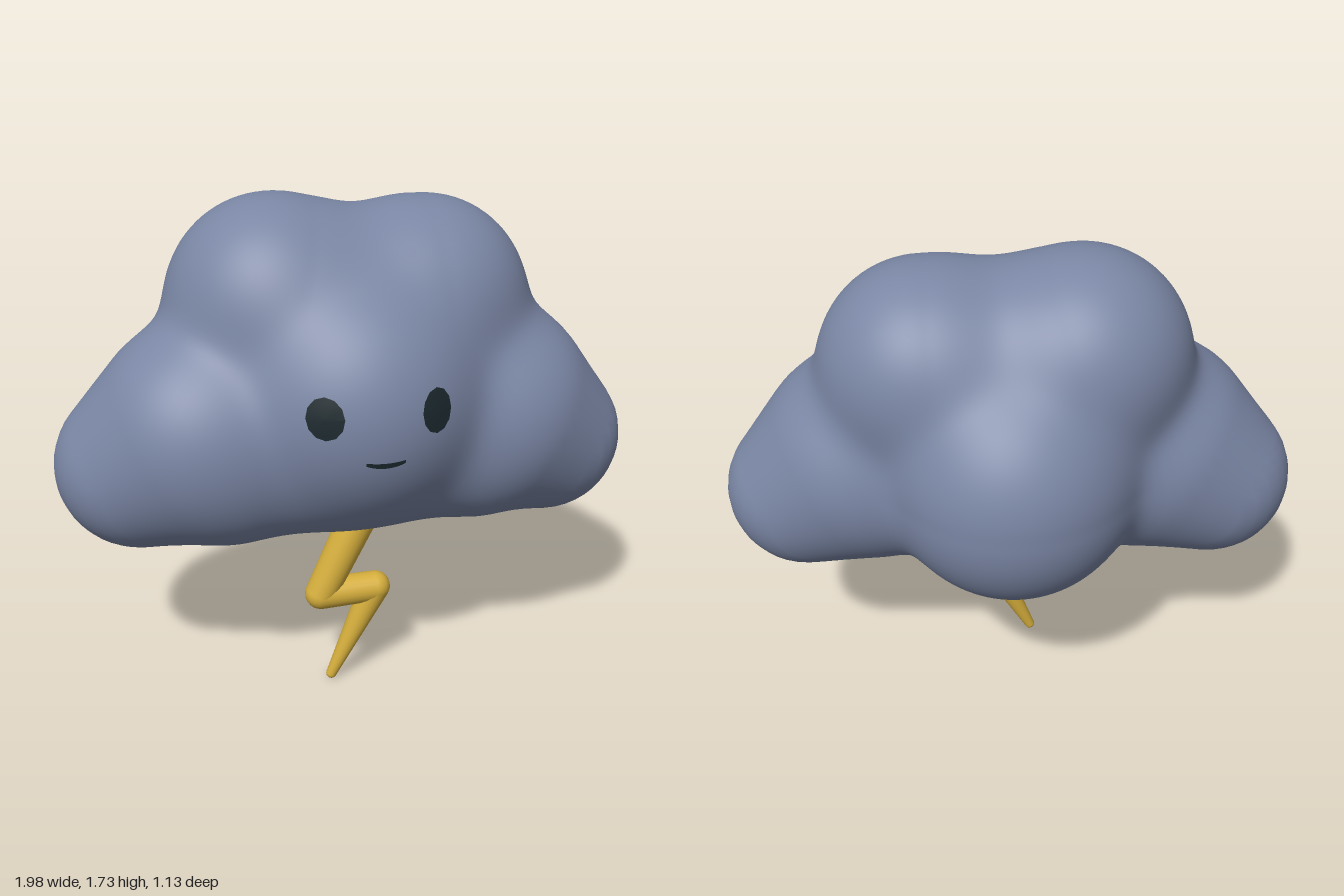
import * as THREE from 'three';

const mat = (name, color) => Object.assign(new THREE.MeshStandardMaterial({ color }), { name });
const V = (x, y, z) => new THREE.Vector3(x, y, z);

// Puffs of the cloud: tapered capsules [start, radius, end, radius]
const puffs = [
  [V(-0.24, 1.37, -0.01), 0.354, V(-0.21, 1.36, -0.01), 0.354], // top right
  [V(0.25, 1.35, 0), 0.346, V(0.28, 1.35, 0), 0.346],           // top left
  [V(-0.71, 0.85, 0.03), 0.283, V(-0.5, 0.97, 0.07), 0.372],    // right side
  [V(0.71, 0.84, 0.07), 0.277, V(0.5, 0.97, 0.07), 0.368],      // left side
  [V(0, 1.09, 0.12), 0.443, V(0, 1.32, 0.03), 0.315],           // front
  [V(0, 0.99, -0.15), 0.415, V(0, 1.03, -0.15), 0.415],         // back
  [V(-0.38, 0.87, 0.13), 0.25, V(0.38, 0.87, 0.13), 0.25],      // underside
];
const BLEND = 0.045;

// Distance to a tapered capsule
function puffDistance(p, [a, ra, b, rb]) {
  const axis = b.clone().sub(a), ap = p.clone().sub(a);
  const len = axis.length();
  axis.divideScalar(len);
  const along = ap.dot(axis);
  const radial = Math.sqrt(Math.max(ap.lengthSq() - along * along, 0));
  const slope = (ra - rb) / len;
  const t = THREE.MathUtils.clamp(along - radial * slope / Math.sqrt(1 - slope * slope), 0, len);
  return Math.hypot(along - t, radial) - (ra - slope * t);
}

// Distance to the softly blended puffs
function distance(p) {
  let sum = 0;
  for (const puff of puffs) sum += Math.exp(-puffDistance(p, puff) / BLEND);
  return -BLEND * Math.log(sum);
}

// March inward along a ray until the cloud surface is met
function hit(start, dir) {
  const p = start.clone();
  for (let i = 0; i < 80; i++) {
    const d = distance(p);
    if (d < 0.0004) break;
    p.addScaledVector(dir, d * 0.9);
  }
  return p;
}

function surfaceNormal(p) {
  const e = 0.002;
  const slope = (o) => distance(p.clone().add(o)) - distance(p.clone().sub(o));
  return V(slope(V(e, 0, 0)), slope(V(0, e, 0)), slope(V(0, 0, e))).normalize();
}

// Sphere pushed out to the blended puffs
function cloudGeometry() {
  const geo = new THREE.SphereGeometry(1, 128, 96);
  const pos = geo.attributes.position, nor = geo.attributes.normal;
  const centre = V(0, 1.0, 0.02);
  for (let i = 0; i < pos.count; i++) {
    const dir = V(0, 0, 0).fromBufferAttribute(pos, i).normalize();
    const p = hit(centre.clone().addScaledVector(dir, 1.4), dir.clone().negate());
    const n = surfaceNormal(p);
    pos.setXYZ(i, p.x, p.y, p.z);
    nor.setXYZ(i, n.x, n.y, n.z);
  }
  return geo;
}

// Thin face detail laid on the front of the cloud
function decal(geo, x, y) {
  geo.translate(x, y, 0);
  const pos = geo.attributes.position;
  for (let i = 0; i < pos.count; i++) {
    const p = hit(V(pos.getX(i), pos.getY(i), 1), V(0, 0, -1));
    p.addScaledVector(surfaceNormal(p), 0.005);
    pos.setXYZ(i, p.x, p.y, p.z);
  }
  geo.computeVertexNormals();
  return geo;
}

export function createModel() {
  const model = new THREE.Group();
  const cloudBlue = mat('cloud blue grey', 0x7a86a4);
  const boltGold = mat('bolt gold', 0xd5ae3c);
  const faceDark = mat('face dark', 0x1b282d);
  faceDark.side = THREE.DoubleSide;

  const add = (name, geo, material, parent = model) => {
    const mesh = new THREE.Mesh(geo, material);
    mesh.name = name;
    parent.add(mesh);
    return mesh;
  };

  add('cloud', cloudGeometry(), cloudBlue);

  // Eyes
  add('rightEye', decal(new THREE.RingGeometry(0, 1, 12, 3).scale(0.055, 0.066, 1), -0.183, 1.15), faceDark);
  add('leftEye', decal(new THREE.RingGeometry(0, 1, 12, 3).scale(0.05, 0.07, 1), 0.16, 1.15), faceDark);

  // Mouth: a narrow strip, gently upturned at the ends
  const mouth = new THREE.PlaneGeometry(0.122, 0.018, 12, 1);
  const mp = mouth.attributes.position;
  for (let i = 0; i < mp.count; i++) {
    const u = mp.getX(i) / 0.061;
    mp.setY(i, mp.getY(i) > 0 ? 0.005 + 0.005 * u * u : -0.013 + 0.012 * u * u);
  }
  add('mouth', decal(mouth, -0.004, 1.0), faceDark);

  // Lightning bolt: tapered rods with rounded joints
  const bolt = new THREE.Group();
  bolt.name = 'lightningBolt';
  model.add(bolt);
  const joints = [
    [V(0.012, 0.65, 0.187), 0.066],
    [V(-0.13, 0.357, 0.195), 0.056],
    [V(0.066, 0.36, 0.195), 0.054],
    [V(-0.094, 0.019, 0.197), 0.019],
  ];
  joints.forEach(([p, r], i) => {
    add('boltJoint', new THREE.SphereGeometry(r, 20, 14), boltGold, bolt).position.copy(p);
    if (i === 0) return;
    const [q, rq] = joints[i - 1];
    const axis = q.clone().sub(p);
    const rod = add('boltRod', new THREE.CylinderGeometry(rq, r, axis.length(), 20, 1, true), boltGold, bolt);
    rod.position.copy(p).add(q).multiplyScalar(0.5);
    rod.quaternion.setFromUnitVectors(V(0, 1, 0), axis.normalize());
  });

  return model;
}
